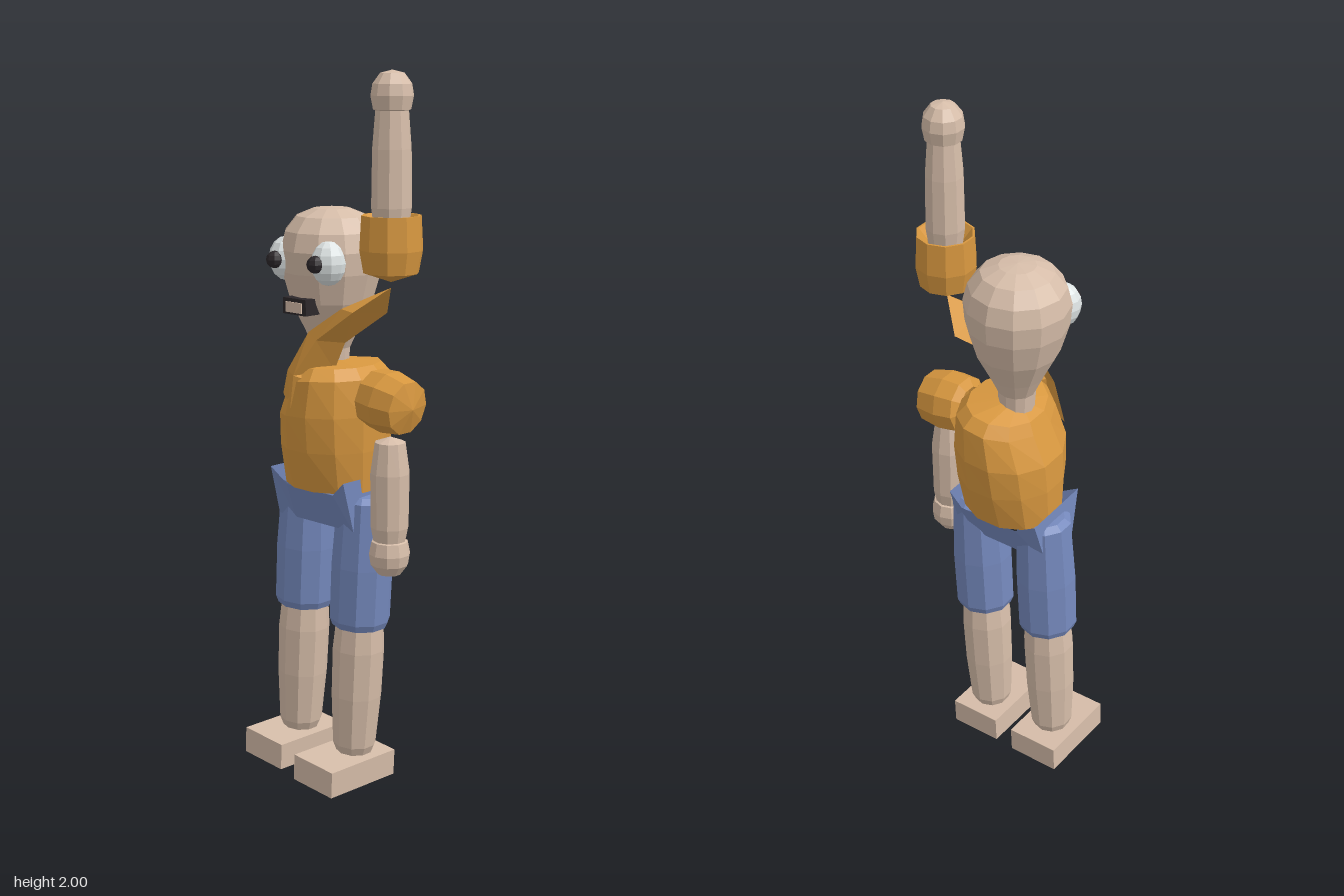
import * as THREE from 'three';

const paint = (name, color, flatShading = true) => {
  const m = new THREE.MeshStandardMaterial({ color, flatShading, side: THREE.DoubleSide });
  m.name = name;
  return m;
};

export function createModel() {
  const skin = paint('skin', 0xd6bda9);
  const orange = paint('orange shirt', 0xd7973f);
  const blue = paint('blue denim', 0x7589bd);
  const white = paint('eye white', 0xdfe5e5);
  const dark = paint('dark', 0x2c272a);

  const model = new THREE.Group();
  model.name = 'figure';
  const add = (name, geo, mat, x = 0, y = 0, z = 0, parent = model) => {
    const m = new THREE.Mesh(geo, mat);
    m.name = name;
    m.position.set(x, y, z);
    parent.add(m);
    return m;
  };
  // profile is a list of [radius, height]
  const lathe = (profile, sides) =>
    new THREE.LatheGeometry(profile.map(([r, y]) => new THREE.Vector2(r, y)), sides);
  // surface through rows of equally many points
  const loft = (rows, closed) => {
    const n = rows[0].length, index = [];
    for (let i = 0; i < rows.length - 1; i++)
      for (let j = 0; j < (closed ? n : n - 1); j++) {
        const a = i * n + j, b = i * n + (j + 1) % n;
        index.push(a, a + n, b, b, a + n, b + n);
      }
    const g = new THREE.BufferGeometry();
    g.setAttribute('position', new THREE.Float32BufferAttribute(rows.flat(2), 3));
    g.setIndex(index);
    g.computeVertexNormals();
    return g;
  };

  // Head and neck in one profile
  add('head', lathe([[0.045, 1.15], [0.052, 1.25], [0.075, 1.3], [0.115, 1.38], [0.138, 1.46],
    [0.143, 1.52], [0.13, 1.57], [0.098, 1.61], [0.05, 1.63], [0, 1.635]], 12), skin, -0.05, 0, 0);

  // Face
  for (const [side, x] of [['right', -0.13], ['left', 0.03]]) {
    const eye = add(side + 'Eye', new THREE.SphereGeometry(0.05, 10, 8), white, x, 1.495, 0.092);
    eye.scale.set(1, 1.22, 1);
    add(side + 'Pupil', new THREE.SphereGeometry(0.024, 8, 6), dark, x + (x < 0 ? 0.002 : -0.002), 1.495, 0.139);
  }
  add('mouth', new THREE.BoxGeometry(0.088, 0.044, 0.06), dark, -0.05, 1.375, 0.112);
  add('teeth', new THREE.BoxGeometry(0.06, 0.028, 0.006), skin, -0.05, 1.373, 0.143);

  // Torso: rings of [y, x radius, z radius, x centre, drop of the right shoulder]
  const torso = [[0.865, 0.02, 0.02, -0.04, 0], [0.865, 0.145, 0.125, -0.04, 0], [0.98, 0.15, 0.155, -0.035, 0],
    [1.08, 0.148, 0.167, -0.03, 0.015], [1.18, 0.122, 0.158, -0.015, 0.03], [1.21, 0.1, 0.13, -0.02, 0.025],
    [1.22, 0.03, 0.035, -0.045, 0.01]];
  add('torso', loft(torso.map(([y, rx, rz, cx, drop]) => Array.from({ length: 12 }, (_, i) => {
    const a = (i + 0.5) / 12 * Math.PI * 2;
    return [cx + rx * Math.sin(a), y - drop * Math.max(0, -Math.sin(a)), rz * Math.cos(a)];
  })), true), orange);

  // Cloth flap stretched from the chest towards the raised arm
  add('shirtFlap', loft([
    [[-0.14, 1.12, 0.1], [-0.05, 1.1, 0.16], [0.06, 1.16, 0.1]],
    [[-0.075, 1.2, 0.145], [-0.04, 1.19, 0.157], [0.02, 1.2, 0.06]],
    [[-0.01, 1.31, 0.128], [0.02, 1.29, 0.13], [0.06, 1.28, 0.06]],
    [[0.09, 1.38, 0.105], [0.135, 1.375, 0.108], [0.135, 1.36, -0.025]],
    [[0.2, 1.44, 0.03], [0.2, 1.44, 0.03], [0.2, 1.44, 0.03]],
  ], false), orange);

  // Sleeves: closed cone at one end
  const lowSleeve = add('loweredSleeve', lathe([[0.055, -0.07], [0.08, -0.055], [0.086, 0], [0.074, 0.065], [0, 0.085]], 10),
    orange, 0.17, 1.125, 0);
  lowSleeve.rotation.z = -Math.PI / 2 - 0.12;
  add('raisedSleeve', lathe([[0, 1.455], [0.074, 1.48], [0.085, 1.54], [0.08, 1.63], [0.074, 1.63], [0.05, 1.6]], 10),
    orange, 0.2, 0, 0.03);

  // Arms: shaft and rounded hand, the lowered one turned upside down
  for (const [name, y, turn] of [['raisedArm', 1.55, 0], ['loweredArm', 1.04, Math.PI]]) {
    const arm = new THREE.Group();
    arm.name = name;
    arm.position.set(0.2, y, 0.03);
    arm.rotation.x = turn;
    model.add(arm);
    const low = turn > 0 ? -0.06 : 0;
    add('forearm', lathe([[0, 0], [0.042, 0.015], [0.054, 0.1], [0.052, 0.25], [0.044, 0.35 + low], [0, 0.355 + low]], 10), skin, 0, 0, 0, arm);
    add('hand', lathe([[0, 0.33], [0.05, 0.35], [0.057, 0.385], [0.052, 0.415], [0.032, 0.442], [0, 0.45]], 10), skin, 0, low, 0, arm);
  }

  // Hips: band flaring up to pointed corners
  const ring = (y, yMid, x0, x1, z) => [
    [x0, y, z], [x0 + 0.065, yMid, z], [x1 - 0.04, yMid, z], [x1, y, z],
    [x1, y, -z], [x1 - 0.04, yMid, -z], [x0 + 0.065, yMid, -z], [x0, y, -z]];
  add('hips', loft([ring(0.76, 0.76, -0.14, 0.05, 0.01), ring(0.76, 0.76, -0.195, 0.097, 0.065),
    ring(0.905, 0.865, -0.185, 0.1, 0.108)], true), blue);

  // Legs lean a little to the right
  for (const [side, x, y] of [['right', -0.195, 0.015], ['left', 0.025, 0]]) {
    const leg = new THREE.Group();
    leg.name = side + 'Leg';
    leg.position.set(x, y, -0.008);
    leg.rotation.z = -0.055;
    model.add(leg);
    add('shortsLeg', lathe([[0.06, 0.48], [0.078, 0.47], [0.086, 0.49], [0.087, 0.65], [0.078, 0.84], [0.06, 0.855], [0, 0.86]], 10),
      blue, 0, 0, 0, leg);
    add('shin', lathe([[0, 0.08], [0.052, 0.085], [0.062, 0.11], [0.072, 0.26], [0.074, 0.4], [0.066, 0.5]], 10), skin, 0, 0, 0, leg);
    const foot = add(side + 'Foot', new THREE.BoxGeometry(0.157, 0.076, 0.246), skin, x, y + 0.045, side === 'right' ? 0.012 : 0.027);
    foot.rotation.set(0, -0.035, -0.05);
  }
  return model;
}
